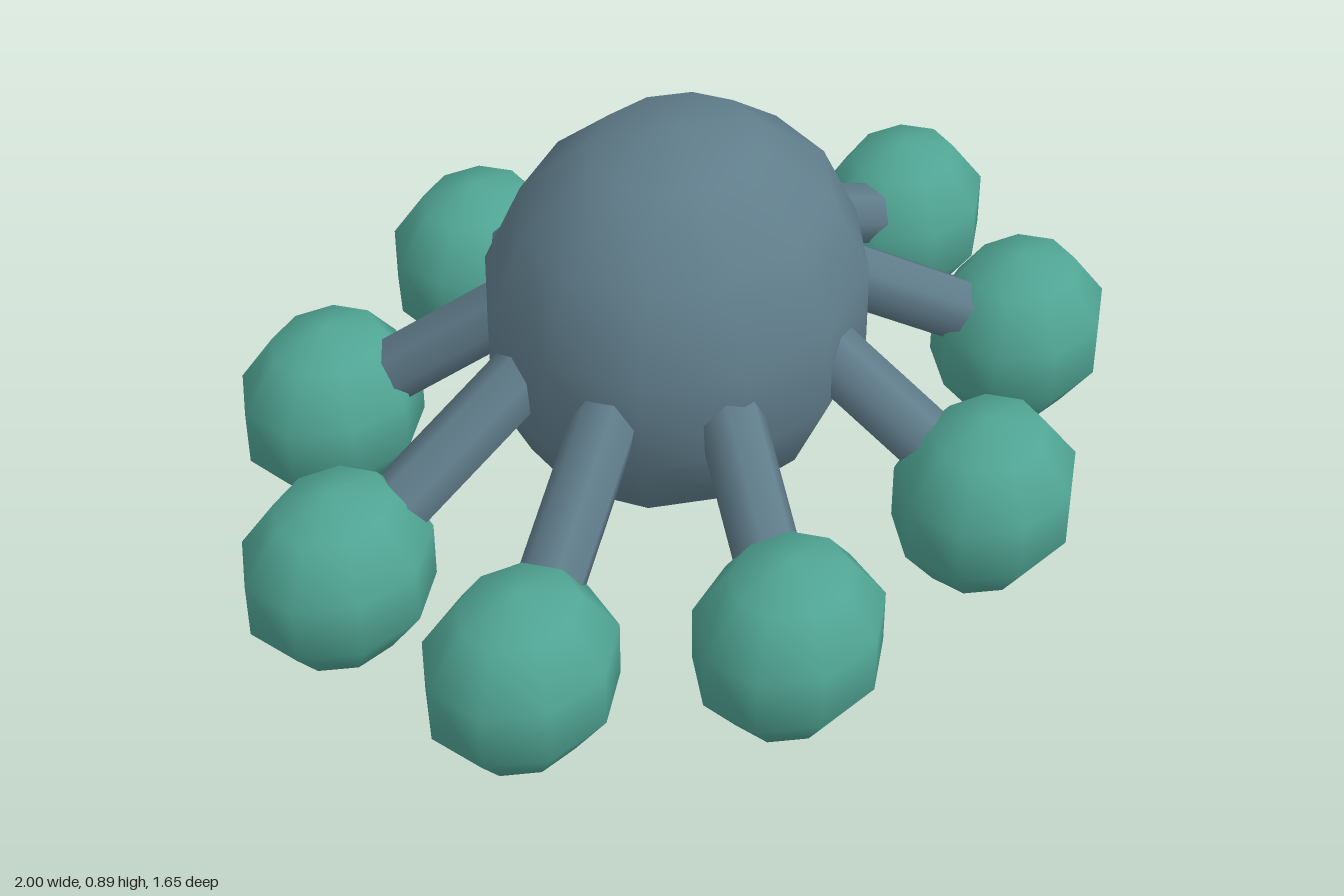
import * as THREE from 'three';

const bodyMaterial = new THREE.MeshStandardMaterial({ color: 0x607d8b });
const footMaterial = new THREE.MeshStandardMaterial({ color: 0x50a594 });

// Smooth-shaded low-poly ellipsoid with a corner pointing to +x
function ellipsoid(sides, rings, rx, ry, rz) {
  return new THREE.SphereGeometry(1, sides, rings, Math.PI).scale(rx, ry, rz);
}

export function createModel() {
  const model = new THREE.Group();
  const centreX = -0.032;

  // Round body
  const body = new THREE.Mesh(ellipsoid(12, 7, 0.428, 0.425, 0.377), bodyMaterial);
  body.name = 'body';
  body.position.set(centreX, 0.467, 0);
  model.add(body);

  // Nine sloping legs, each ending in a ball foot, set around an oval
  const legCount = 9;
  const footGeometry = ellipsoid(9, 5, 0.211, 0.198, 0.183);
  const up = new THREE.Vector3(0, 1, 0);
  for (let i = 0; i < legCount; i++) {
    const angle = (i / legCount) * Math.PI * 2;
    const along = (f, y) => new THREE.Vector3(
      centreX + 0.83 * f * Math.cos(angle), y, 0.662 * f * Math.sin(angle));
    const hip = along(0.4, 0.488);
    const ankle = along(1, 0.198);
    const axis = hip.clone().sub(ankle);

    const limb = new THREE.Group();
    limb.name = `limb${i + 1}`;

    const leg = new THREE.Mesh(new THREE.CylinderGeometry(0.067, 0.067, axis.length(), 7), bodyMaterial);
    leg.name = 'leg';
    leg.position.copy(hip).add(ankle).multiplyScalar(0.5);
    leg.quaternion.setFromUnitVectors(up, axis.normalize());
    limb.add(leg);

    const foot = new THREE.Mesh(footGeometry, footMaterial);
    foot.name = 'foot';
    foot.position.copy(ankle);
    limb.add(foot);

    model.add(limb);
  }
  return model;
}
